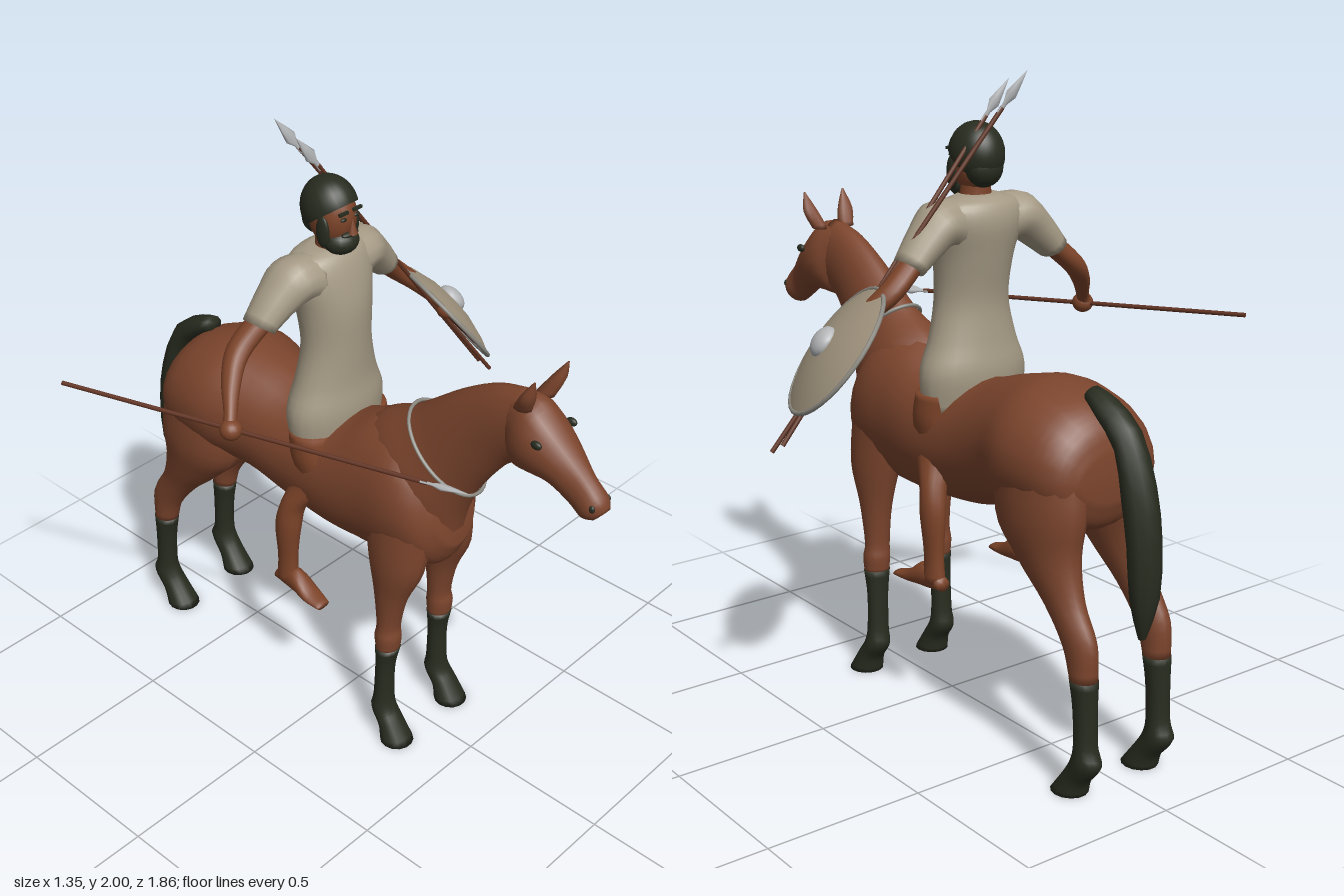
import * as THREE from 'three';

const mat = (name, color, extra = {}) => Object.assign(new THREE.MeshStandardMaterial({ color, ...extra }), { name });

// Smooth skin through elliptical sections. A station is [a1, y1, a2, y2, c, w]:
// two opposite outline points, the sideways centre and the sideways half width.
// Outline points lie in the z-y plane, or in the x-y plane when frontal is true.
function loft(stations, { side = 1, frontal = false, sides = 18, sub = 4 } = {}) {
  const curve = (i) => new THREE.CatmullRomCurve3(
    stations.map((s) => new THREE.Vector3(s[i], s[i + 1], s[i + 2])), false, 'catmullrom', 0.5);
  // regroup so that both curves share one parameter
  const first = new THREE.CatmullRomCurve3(
    stations.map((s) => new THREE.Vector3(s[0], s[1], s[4])), false, 'catmullrom', 0.5);
  const second = new THREE.CatmullRomCurve3(
    stations.map((s) => new THREE.Vector3(s[2], s[3], s[5])), false, 'catmullrom', 0.5);
  const pos = [], idx = [], rows = (stations.length - 1) * sub;
  const put = (a, y, c) => (frontal ? pos.push(a * side, y, c) : pos.push(c * side, y, a));
  const mids = [];
  for (let r = 0; r <= rows; r++) {
    const p = first.getPoint(r / rows), q = second.getPoint(r / rows);
    const ma = (p.x + q.x) / 2, my = (p.y + q.y) / 2;
    mids.push([ma, my, p.z]);
    for (let k = 0; k < sides; k++) {
      const t = (k / sides) * Math.PI * 2, v = Math.sin(t) / 2;
      put(ma + (p.x - q.x) * v, my + (p.y - q.y) * v, p.z + q.z * Math.cos(t));
    }
  }
  for (let r = 0; r < rows; r++) for (let k = 0; k < sides; k++) {
    const n = (k + 1) % sides, a = r * sides + k, b = r * sides + n;
    idx.push(a, b, a + sides, b, b + sides, a + sides);
  }
  // end caps
  const c0 = (rows + 1) * sides;
  put(...mids[0]);
  put(...mids[rows]);
  for (let k = 0; k < sides; k++) {
    const n = (k + 1) % sides;
    idx.push(c0, n, k, c0 + 1, rows * sides + k, rows * sides + n);
  }
  // turn the faces outward if the enclosed volume comes out negative
  const P = (i) => new THREE.Vector3().fromArray(pos, i * 3);
  let volume = 0;
  for (let i = 0; i < idx.length; i += 3) volume += P(idx[i]).dot(P(idx[i + 1]).cross(P(idx[i + 2])));
  if (volume < 0) idx.reverse();
  const g = new THREE.BufferGeometry();
  g.setAttribute('position', new THREE.Float32BufferAttribute(pos, 3));
  g.setIndex(idx);
  g.computeVertexNormals();
  return g;
}

export function createModel() {
  const coat = mat('horse coat', 0x7c452d), skin = mat('skin', 0x7d4429);
  const dark = mat('dark hair', 0x282c1f), cloth = mat('tunic cloth', 0xa59a85);
  const wood = mat('spear wood', 0x623423), steel = mat('steel', 0xb4b6b8);
  const hide = mat('shield face', 0xa39680), lining = mat('shield lining', 0x5c2b1d);
  const cord = mat('cord', 0x8c8a82);
  const model = new THREE.Group();
  const add = (name, geo, material, x = 0, y = 0, z = 0, parent = model) => {
    const m = new THREE.Mesh(geo, material);
    m.name = name;
    m.position.set(x, y, z);
    parent.add(m);
    return m;
  };
  const ball = (rx, ry, rz) => new THREE.SphereGeometry(1, 16, 12).scale(rx, ry, rz);

  // Horse trunk, neck, head and tail
  add('horseBody', loft([
    [-0.75, 0.99, -0.755, 0.85, 0, 0.12], [-0.72, 1.07, -0.72, 0.77, 0, 0.18],
    [-0.64, 1.13, -0.64, 0.74, 0, 0.22], [-0.5, 1.16, -0.5, 0.74, 0, 0.232],
    [-0.36, 1.135, -0.36, 0.73, 0, 0.195], [-0.2, 1.09, -0.2, 0.69, 0, 0.18],
    [-0.02, 1.09, -0.02, 0.67, 0, 0.185], [0.12, 1.15, 0.14, 0.665, 0, 0.18],
    [0.24, 1.16, 0.27, 0.675, 0, 0.178], [0.32, 1.1, 0.37, 0.71, 0, 0.15],
    [0.38, 1.0, 0.42, 0.8, 0, 0.08]], { sides: 24 }), coat);
  add('horseNeck', loft([
    [0.02, 1.08, 0.4, 0.76, 0, 0.13], [0.12, 1.16, 0.425, 0.9, 0, 0.135],
    [0.24, 1.225, 0.475, 1.02, 0, 0.1], [0.4, 1.345, 0.55, 1.13, 0, 0.075],
    [0.53, 1.42, 0.605, 1.19, 0, 0.065], [0.64, 1.45, 0.66, 1.21, 0, 0.06]]), coat);
  add('horseHead', loft([
    [0.6, 1.44, 0.6, 1.23, 0, 0.055], [0.68, 1.44, 0.625, 1.2, 0, 0.082],
    [0.74, 1.395, 0.68, 1.2, 0, 0.085], [0.8, 1.335, 0.755, 1.195, 0, 0.068],
    [0.87, 1.265, 0.815, 1.155, 0, 0.046], [0.92, 1.215, 0.86, 1.13, 0, 0.046],
    [0.935, 1.18, 0.895, 1.135, 0, 0.028]]), coat);
  add('horseTail', loft([
    [-0.64, 1.12, -0.66, 1.165, 0, 0.03], [-0.7, 1.08, -0.72, 1.145, 0, 0.045],
    [-0.78, 1.0, -0.82, 1.08, 0, 0.05], [-0.81, 0.87, -0.89, 0.93, 0, 0.055],
    [-0.835, 0.75, -0.92, 0.77, 0, 0.055], [-0.85, 0.6, -0.92, 0.6, 0, 0.048],
    [-0.87, 0.48, -0.89, 0.48, 0, 0.012]], { sides: 10, sub: 2 }), dark);

  // Cord around the neck
  const loop = Array.from({ length: 14 }, (_, i) => {
    const t = (i / 14) * Math.PI * 2, s = Math.sin(t) * 1.04;
    return new THREE.Vector3(0.106 * Math.cos(t), 1.122 + 0.103 * s, 0.357 - 0.118 * s);
  });
  add('neckCord', new THREE.TubeGeometry(new THREE.CatmullRomCurve3(loop, true), 48, 0.006, 6, true), cord);

  for (const side of [1, -1]) {
    const tag = side > 0 ? 'left' : 'right', opt = { side, sides: 14 };
    // Horse legs with dark lower parts
    add(tag + 'FrontLeg', loft([
      [0.38, 0.88, 0.12, 0.88, 0.09, 0.075], [0.365, 0.71, 0.16, 0.72, 0.112, 0.066],
      [0.31, 0.58, 0.19, 0.59, 0.12, 0.05], [0.28, 0.46, 0.205, 0.46, 0.122, 0.042],
      [0.285, 0.41, 0.2, 0.41, 0.125, 0.045], [0.28, 0.36, 0.205, 0.36, 0.125, 0.042]], opt), coat);
    add(tag + 'FrontSock', loft([
      [0.282, 0.365, 0.203, 0.365, 0.125, 0.044], [0.265, 0.28, 0.205, 0.28, 0.128, 0.036],
      [0.265, 0.17, 0.2, 0.16, 0.13, 0.036], [0.275, 0.115, 0.193, 0.105, 0.132, 0.042],
      [0.3, 0.075, 0.23, 0.05, 0.134, 0.045], [0.35, 0, 0.24, 0, 0.135, 0.055]], opt), dark);
    add(tag + 'HindLeg', loft([
      [-0.42, 1.0, -0.73, 1.0, 0.11, 0.1], [-0.42, 0.78, -0.755, 0.83, 0.128, 0.1],
      [-0.52, 0.66, -0.745, 0.7, 0.135, 0.075], [-0.64, 0.55, -0.775, 0.58, 0.138, 0.05],
      [-0.72, 0.45, -0.835, 0.475, 0.14, 0.042], [-0.755, 0.36, -0.84, 0.36, 0.14, 0.04]], opt), coat);
    add(tag + 'HindSock', loft([
      [-0.753, 0.365, -0.842, 0.365, 0.14, 0.042], [-0.768, 0.28, -0.843, 0.28, 0.14, 0.036],
      [-0.775, 0.17, -0.848, 0.165, 0.14, 0.036], [-0.765, 0.12, -0.865, 0.11, 0.14, 0.042],
      [-0.74, 0.075, -0.815, 0.045, 0.138, 0.045], [-0.685, 0, -0.8, 0, 0.137, 0.055]], opt), dark);
    // Ears, eyes and nostrils
    add(tag + 'HorseEar', loft([
      [0.69, 1.42, 0.63, 1.42, 0.05, 0.025], [0.71, 1.475, 0.665, 1.475, 0.068, 0.026],
      [0.715, 1.535, 0.71, 1.535, 0.075, 0.003]], { side, sides: 8 }), coat);
    add(tag + 'HorseEye', ball(0.01, 0.013, 0.018), dark, side * 0.08, 1.345, 0.735);
    add(tag + 'Nostril', ball(0.008, 0.012, 0.01), dark, side * 0.036, 1.19, 0.905);

    // Rider legs and feet
    add(tag + 'RiderLeg', loft([
      [-0.02, 1.04, -0.16, 1.04, 0.13, 0.055], [-0.01, 0.96, -0.15, 0.96, 0.135, 0.055],
      [0, 0.87, -0.15, 0.87, 0.125, 0.05], [-0.08, 0.77, -0.17, 0.77, 0.165, 0.042],
      [-0.095, 0.68, -0.187, 0.68, 0.18, 0.038], [-0.11, 0.55, -0.183, 0.55, 0.18, 0.028],
      [-0.105, 0.46, -0.19, 0.46, 0.18, 0.03]], opt), skin);
    add(tag + 'Foot', loft([
      [-0.19, 0.48, -0.195, 0.44, 0.178, 0.022], [-0.11, 0.515, -0.11, 0.43, 0.18, 0.032],
      [-0.04, 0.47, -0.04, 0.43, 0.185, 0.036], [0.02, 0.45, 0.02, 0.43, 0.19, 0.026]], opt), skin);

    // Sleeves, arms and hands
    const arm = { side, frontal: true, sides: 14 };
    add(tag + 'Sleeve', loft([
      [0.07, 1.63, 0.08, 1.47, -0.12, 0.08], [0.17, 1.625, 0.125, 1.49, -0.13, 0.085],
      [0.24, 1.56, 0.17, 1.465, -0.14, 0.07], [0.305, 1.475, 0.235, 1.42, -0.15, 0.055]], arm), cloth);
    add(tag + 'Arm', loft([
      [0.27, 1.495, 0.22, 1.45, -0.15, 0.042], [0.36, 1.415, 0.32, 1.365, -0.165, 0.04],
      [0.425, 1.345, 0.39, 1.305, -0.13, 0.036], [0.475, 1.275, 0.445, 1.245, -0.08, 0.024],
      [0.495, 1.245, 0.465, 1.215, -0.065, 0.026]], arm), skin);
    add(tag + 'Hand', ball(0.034, 0.032, 0.034), skin, side * 0.478, 1.228, -0.06);
    // Face details
    add(tag + 'Eye', ball(0.012, 0.006, 0.006), dark, side * 0.027, 1.742, -0.035);
    add(tag + 'Brow', new THREE.BoxGeometry(0.036, 0.009, 0.009), dark, side * 0.028, 1.762, -0.034);
    add(tag + 'Sideburn', ball(0.012, 0.05, 0.025), dark, side * 0.063, 1.7, -0.085);
  }

  // Rider torso and head
  add('tunic', loft([
    [0, 0.98, -0.2, 0.98, 0, 0.172], [0.01, 1.1, -0.215, 1.1, 0, 0.183],
    [0, 1.2, -0.2, 1.2, 0, 0.148], [0, 1.32, -0.19, 1.32, 0, 0.122],
    [0, 1.45, -0.21, 1.45, 0, 0.13], [-0.02, 1.55, -0.225, 1.55, 0, 0.155],
    [-0.045, 1.61, -0.21, 1.61, 0, 0.14], [-0.075, 1.635, -0.17, 1.635, 0, 0.07]], { sides: 24 }), cloth);
  add('riderNeck', loft([
    [-0.06, 1.6, -0.165, 1.6, 0, 0.055], [-0.065, 1.64, -0.16, 1.64, 0, 0.048],
    [-0.06, 1.71, -0.16, 1.71, 0, 0.048]]), skin);
  add('riderHead', ball(0.068, 0.098, 0.08), skin, 0, 1.73, -0.108);
  add('nose', new THREE.ConeGeometry(0.015, 0.05, 8), skin, 0, 1.718, -0.024);
  add('hair', new THREE.SphereGeometry(1, 24, 16, 0, Math.PI * 2, 0, 1.78).rotateX(-0.6).scale(0.08, 0.097, 0.092),
    mat('hair cap', 0x282c1f, { side: THREE.DoubleSide }), 0, 1.75, -0.118).material.name = 'dark hair cap';
  add('napeHair', ball(0.062, 0.06, 0.05), dark, 0, 1.715, -0.155);
  add('beard', ball(0.057, 0.042, 0.052), dark, 0, 1.657, -0.072);
  add('moustache', ball(0.034, 0.009, 0.014), dark, 0, 1.69, -0.036);

  // Spears, each from its butt to its tip
  const up = new THREE.Vector3(0, 1, 0);
  const spear = (name, butt, tip) => {
    const a = new THREE.Vector3(...butt), d = new THREE.Vector3(...tip).sub(a), len = d.length();
    const g = new THREE.Group();
    g.name = name;
    g.position.copy(a);
    g.quaternion.setFromUnitVectors(up, d.normalize());
    model.add(g);
    add(name + 'Shaft', new THREE.CylinderGeometry(0.007, 0.007, len - 0.13, 8), wood, 0, (len - 0.13) / 2, 0, g);
    const blade = [[0.009, 0], [0.008, 0.035], [0.021, 0.065], [0.013, 0.1], [0, 0.15]];
    add(name + 'Blade', new THREE.LatheGeometry(blade.map((p) => new THREE.Vector2(...p)), 8).scale(1, 1, 0.5),
      steel, 0, len - 0.15, 0, g);
  };
  spear('heldSpear', [-0.675, 1.255, -0.58], [-0.21, 1.19, 0.62]);
  spear('outerJavelin', [0.665, 0.935, -0.02], [-0.07, 2.0, -0.265]);
  spear('innerJavelin', [0.65, 0.96, -0.055], [-0.075, 1.97, -0.175]);

  // Round domed shield on the left arm
  const shield = new THREE.Group();
  shield.name = 'shield';
  shield.position.set(0.48, 1.222, -0.082);
  shield.quaternion.setFromUnitVectors(up, new THREE.Vector3(0.73, 0.61, 0.28).normalize());
  model.add(shield);
  const dome = [[0.215, 0], [0.16, 0.022], [0.08, 0.042], [0, 0.048]].map((p) => new THREE.Vector2(...p));
  add('shieldFace', new THREE.LatheGeometry(dome, 32), hide, 0, 0, 0, shield);
  add('shieldBack', new THREE.LatheGeometry(dome.slice().reverse(), 32), lining, 0, -0.006, 0, shield);
  add('shieldRim', new THREE.TorusGeometry(0.214, 0.007, 8, 36).rotateX(Math.PI / 2), cord, 0, -0.002, 0, shield);
  add('shieldBoss', ball(0.05, 0.032, 0.05), steel, 0, 0.044, 0, shield);
  return model;
}
